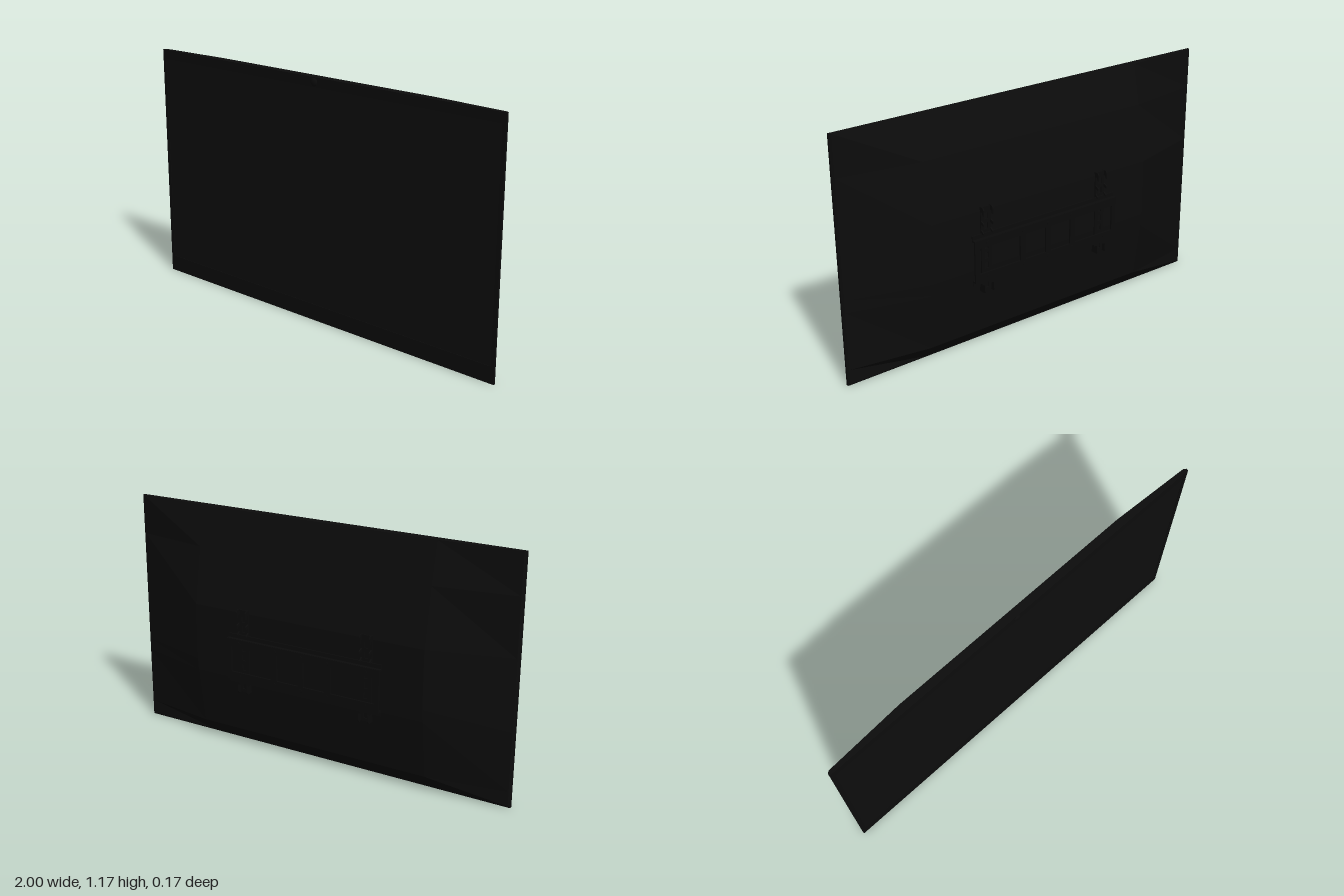
import * as THREE from 'three';

const mat = (name, color) => {
  const m = new THREE.MeshStandardMaterial({ color });
  m.name = name;
  return m;
};

// Loft a closed side outline through several stations along x, flat shaded.
function loft(stations) {
  const pos = [];
  const tri = (...pts) => pts.forEach((p) => pos.push(...p));
  const n = stations[0].length;
  for (let s = 0; s < stations.length - 1; s++) {
    for (let i = 0; i < n; i++) {
      const j = (i + 1) % n;
      const a = stations[s][i], b = stations[s + 1][i], c = stations[s + 1][j], d = stations[s][j];
      tri(a, d, c);
      tri(a, c, b);
    }
  }
  const first = stations[0], last = stations[stations.length - 1];
  for (let i = 1; i < n - 1; i++) {
    tri(first[0], first[i + 1], first[i]);
    tri(last[0], last[i], last[i + 1]);
  }
  const g = new THREE.BufferGeometry();
  g.setAttribute('position', new THREE.Float32BufferAttribute(pos, 3));
  g.computeVertexNormals();
  return g;
}

const rectPoints = (x0, y0, x1, y1) => [[x0, y0], [x1, y0], [x1, y1], [x0, y1]].map((p) => new THREE.Vector2(...p));

// Flat rectangular plate with rectangular openings.
function plate(outer, holes, depth) {
  const shape = new THREE.Shape(rectPoints(...outer));
  holes.forEach((h) => shape.holes.push(new THREE.Path(rectPoints(...h))));
  return new THREE.ExtrudeGeometry(shape, { depth, bevelEnabled: false });
}

export function createModel() {
  const casing = mat('casing black', 0x0c0c0c);
  const glass = mat('screen black', 0x0d0d0d);
  const metal = mat('mount black', 0x0b0b0b);
  const model = new THREE.Group();
  model.name = 'television';
  const add = (parent, name, geo, material, x = 0, y = 0, z = 0) => {
    const m = new THREE.Mesh(geo, material);
    m.name = name;
    m.position.set(x, y, z);
    parent.add(m);
    return m;
  };

  // Casing: thick in the middle, thinning to the left and right edges
  const H = 1.167;
  const profile = [[0, 0.07], [0, 0.062], [0.008, 0.056], [0.08, -0.005], [0.36, -0.045], [0.42, -0.05],
    [0.7, -0.05], [0.975, -0.005], [H, 0.037], [H, 0.07]];
  const station = (x, thin) => profile.map(([y, z]) => [x, y, thin === null ? z : Math.max(z, thin)]);
  add(model, 'casing', loft([
    station(-1, 0.064), station(-0.99, 0.056), station(-0.61, null),
    station(0.61, null), station(0.99, 0.056), station(1, 0.064),
  ]), casing);

  // Front frame, screen and the strip below it
  add(model, 'bezel', plate([-1, 0, 1, H], [[-0.98, 0.08, 0.98, 1.12]], 0.005), casing, 0, 0, 0.07);
  add(model, 'screen', new THREE.BoxGeometry(1.96, 1.04, 0.004), glass, 0, 0.6, 0.071);

  // Small sensor bump at the top centre
  const sensor = add(model, 'sensor', new THREE.SphereGeometry(0.02, 20, 12), casing, 0, 1.144, 0.073);
  sensor.scale.z = 0.45;

  // Wall mount
  const mount = new THREE.Group();
  mount.name = 'wallMount';
  model.add(mount);

  // Wall plate with openings between the cross bars
  const openings = [[-0.385, -0.16], [-0.13, -0.015], [0.015, 0.13], [0.16, 0.385]];
  add(mount, 'wallPlate', plate([-0.41, 0.37, 0.41, 0.575],
    openings.map(([a, b]) => [a, 0.41, b, 0.535]), 0.008), metal, 0, 0, -0.082);

  // Folded rails along the plate's top and bottom
  for (const [y, s] of [[0.572, 1], [0.373, -1]]) {
    add(mount, 'railLip', new THREE.BoxGeometry(0.82, 0.008, 0.02), metal, 0, y, -0.07);
    add(mount, 'railFlange', new THREE.BoxGeometry(0.82, 0.026, 0.006), metal, 0, y + s * 0.01, -0.061);
    for (const x of [-0.34, -0.14, 0, 0.14, 0.34]) {
      const bolt = add(mount, 'bolt', new THREE.CylinderGeometry(0.009, 0.009, 0.005, 12), metal, x, y - s * 0.018, -0.0815);
      bolt.rotation.x = Math.PI / 2;
    }
  }

  // Hooked bracket flange, drawn as (distance back, height)
  const flange = new THREE.Shape([
    [0.034, 0.303], [0.07, 0.303], [0.076, 0.312], [0.076, 0.345], [0.066, 0.342], [0.056, 0.335],
    [0.056, 0.59], [0.072, 0.59], [0.072, 0.597], [0.056, 0.61], [0.056, 0.636], [0.076, 0.63],
    [0.076, 0.643], [0.056, 0.652], [0.056, 0.695], [0.066, 0.695], [0.069, 0.68], [0.076, 0.68],
    [0.076, 0.708], [0.069, 0.719], [0.042, 0.719], [0.042, 0.36],
  ].map((p) => new THREE.Vector2(...p)));
  const flangeGeo = new THREE.ExtrudeGeometry(flange, { depth: 0.006, bevelEnabled: false }).rotateY(Math.PI / 2);

  // Slotted strip between the two flanges
  const slots = [];
  for (let y = 0.32; y < 0.7; y += 0.048) slots.push([-0.009, y, 0.009, y + 0.03]);
  const stripGeo = plate([-0.025, 0.305, 0.025, 0.717], slots, 0.005);

  for (const x of [-0.33, 0.33]) {
    const bracket = new THREE.Group();
    bracket.name = x > 0 ? 'leftBracket' : 'rightBracket';
    bracket.position.x = x;
    mount.add(bracket);
    add(bracket, 'strip', stripGeo, metal, 0, 0, -0.056);
    add(bracket, 'flange', flangeGeo, metal, -0.028);
    add(bracket, 'flange', flangeGeo, metal, 0.022);
  }
  return model;
}
